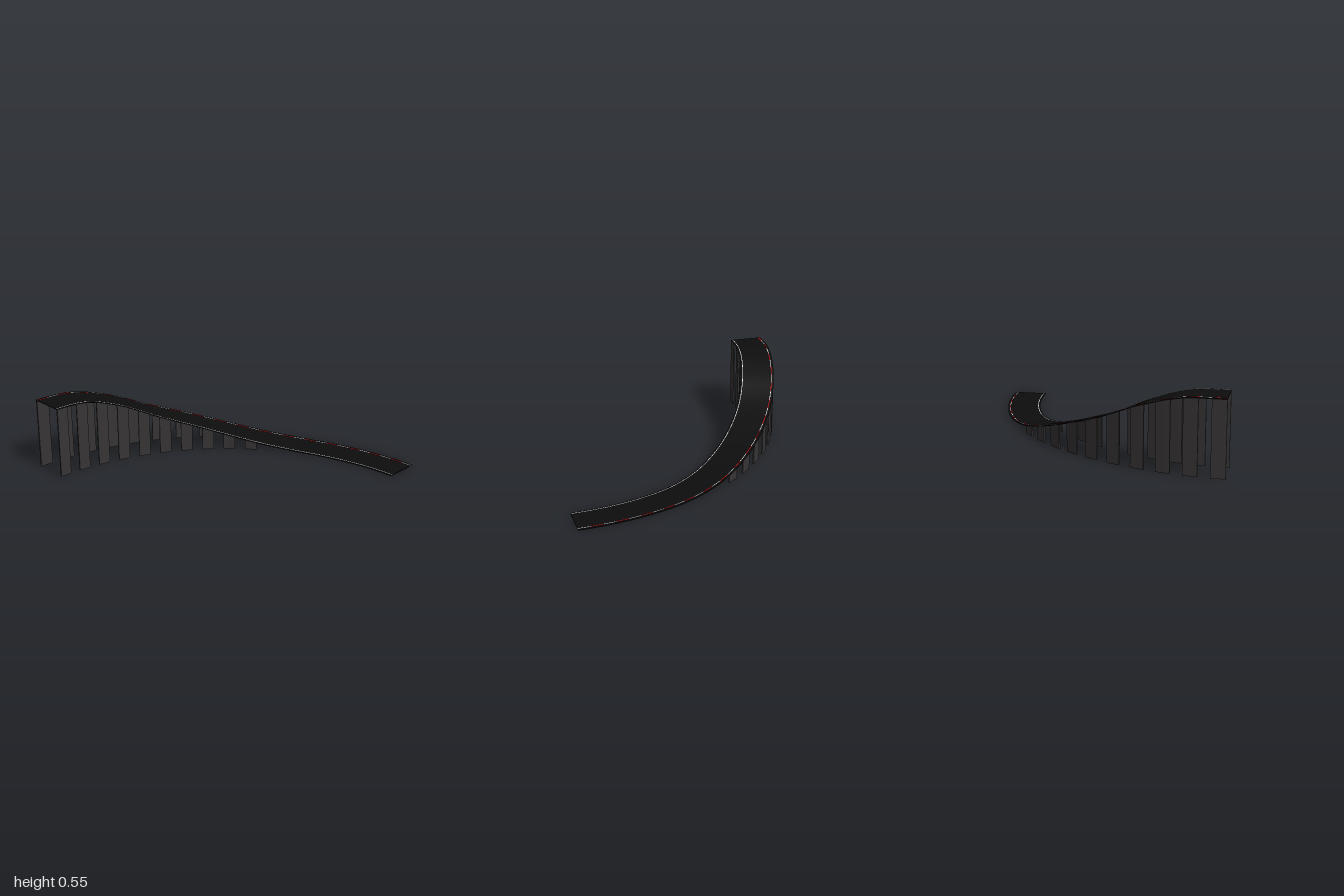
import * as THREE from 'three';
import { toCreasedNormals } from 'three/addons/utils/BufferGeometryUtils.js';

const CENTRE = 1.05;               // arc centre in x and z
const OUTER = 2.0506, INNER = 1.7907;
const THICK = 0.006;

// Road height at equal steps along the bend
const heights = [0.545, 0.53, 0.442, 0.315, 0.213, 0.123, 0.053, 0.018, 0.009, 0.007, 0.006];
const profile = new THREE.SplineCurve(heights.map((y, i) => new THREE.Vector2(i / 10, y)));
const roadY = t => profile.getPoint(t).y;

// Point on the bend; both ends are cut square to the axes
function place(r, t, y) {
  const a0 = Math.asin((CENTRE - 1) / r);
  const a = a0 + t * (Math.PI / 2 - 2 * a0);
  return [CENTRE - r * Math.cos(a), y, CENTRE - r * Math.sin(a)];
}

// Closed bar following the bend from t0 to t1, between two radii and two height rules
function sweep(r0, r1, t0, t1, bottom, top, steps) {
  const pos = [], index = [];
  for (let i = 0; i <= steps; i++) {
    const t = t0 + (t1 - t0) * i / steps;
    const lo = bottom(t), hi = top(t);
    pos.push(...place(r0, t, lo), ...place(r1, t, lo), ...place(r1, t, hi), ...place(r0, t, hi));
    if (i === steps) break;
    for (let j = 0; j < 4; j++) {
      const a = i * 4 + j, b = i * 4 + (j + 1) % 4;
      index.push(a, b, b + 4, a, b + 4, a + 4);
    }
  }
  const e = steps * 4;
  index.push(0, 2, 1, 0, 3, 2, e, e + 1, e + 2, e, e + 2, e + 3);
  const g = new THREE.BufferGeometry();
  g.setAttribute('position', new THREE.Float32BufferAttribute(pos, 3));
  g.setIndex(index);
  return toCreasedNormals(g, 0.6);
}

export function createModel() {
  const model = new THREE.Group();
  model.name = 'curvedRamp';
  const material = (name, color) => {
    const m = new THREE.MeshStandardMaterial({ color });
    m.name = name;
    return m;
  };
  const asphalt = material('asphalt black', 0x0d0d0d);
  const concrete = material('pillar dark grey', 0x373435);
  const white = material('line white', 0xffffff);
  const red = material('marker red', 0xe01010);

  const add = (parent, name, geometry, mat) => {
    const mesh = new THREE.Mesh(geometry, mat);
    mesh.name = name;
    parent.add(mesh);
  };
  const group = name => {
    const g = new THREE.Group();
    g.name = name;
    model.add(g);
    return g;
  };

  // Road deck
  const deckBottom = t => roadY(t) - THICK;
  add(model, 'roadDeck', sweep(INNER, OUTER, 0, 1, deckBottom, roadY, 100), asphalt);

  // Painted edge lines: plain white inside, red and white outside
  const paint = t => roadY(t) + 0.0015;
  add(model, 'innerEdgeLine', sweep(INNER + 0.011, INNER + 0.016, 0, 1, roadY, paint, 100), white);
  const marks = group('outerEdgeLine');
  const count = 34;
  for (let i = 0; i < count; i++) {
    const isRed = i % 2 === 0;
    add(marks, isRed ? 'redMark' : 'whiteMark',
      sweep(OUTER - 0.021, OUTER - 0.016, i / count, (i + 1) / count, roadY, paint, 4),
      isRed ? red : white);
  }

  // Curved plate pillars under both edges, shrinking with the slope
  const pillars = group('pillars');
  const ground = () => 0;
  const pillarTop = t => roadY(t) - THICK / 2;
  for (let i = 0; i < 10; i++) {
    const t0 = i * 0.0615, t1 = t0 + 0.033;
    add(pillars, 'outerPillar', sweep(OUTER - 0.012, OUTER - 0.001, t0, t1, ground, pillarTop, 4), concrete);
    add(pillars, 'innerPillar', sweep(INNER + 0.001, INNER + 0.012, t0, t1, ground, pillarTop, 4), concrete);
  }
  return model;
}
